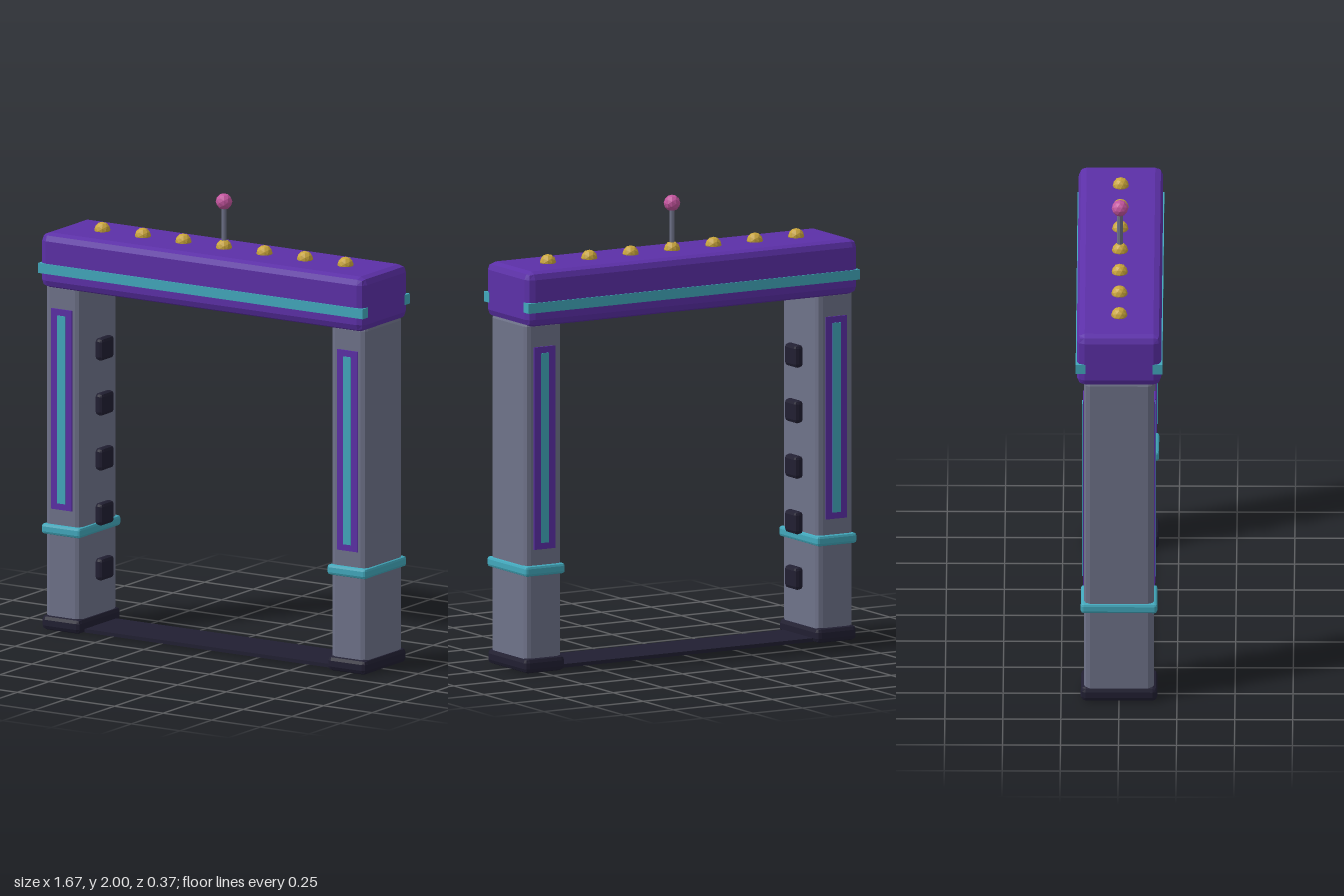
import * as THREE from 'three';
import { RoundedBoxGeometry } from 'three/addons/geometries/RoundedBoxGeometry.js';

const mat = (name, color) => new THREE.MeshStandardMaterial({ name, color, flatShading: true });

export function createModel() {
  const purple = mat('purple', 0x5c30a8);
  const grey = mat('grey', 0x6f738a);
  const teal = mat('teal', 0x42a9bd);
  const dark = mat('dark', 0x211f32);
  const gold = mat('gold', 0xc9a53c);
  const pink = mat('pink', 0xc4559f);

  const model = new THREE.Group();
  model.name = 'scannerGate';

  const add = (parent, name, geometry, material, x, y, z) => {
    const mesh = new THREE.Mesh(geometry, material);
    mesh.name = name;
    mesh.position.set(x, y, z);
    parent.add(mesh);
    return mesh;
  };
  // Box with bevelled edges
  const bevelBox = (w, h, d, r) => {
    const g = new RoundedBoxGeometry(w, h, d, 1, r);
    g.computeVertexNormals();
    return g;
  };

  // Pillars with foot, band, light panels and inward sensors
  for (const side of [-1, 1]) {
    const pillar = new THREE.Group();
    pillar.name = side > 0 ? 'leftPillar' : 'rightPillar';
    pillar.position.x = side * 0.735;
    model.add(pillar);

    add(pillar, 'column', bevelBox(0.18, 1.52, 0.3, 0.024), grey, 0, 0.78, 0);
    add(pillar, 'foot', bevelBox(0.2, 0.066, 0.33, 0.02), dark, 0, 0.033, 0);
    add(pillar, 'band', bevelBox(0.2, 0.046, 0.33, 0.012), teal, 0, 0.447, 0);

    for (const face of [-1, 1]) {
      add(pillar, 'panelFrame', new THREE.BoxGeometry(0.106, 0.886, 0.008), purple, 0, 0.982, face * 0.152);
      add(pillar, 'panelLight', new THREE.BoxGeometry(0.04, 0.83, 0.008), teal, 0, 0.982, face * 0.155);
    }
    for (let i = 0; i < 5; i++) {
      add(pillar, 'sensor', bevelBox(0.042, 0.1, 0.1, 0.016), dark, -side * 0.121, 0.27 + i * 0.243, 0);
    }
  }

  // Threshold plate between the feet
  add(model, 'threshold', new THREE.BoxGeometry(1.27, 0.016, 0.25), dark, 0, 0.012, 0);

  // Header beam with a strip along front and back
  add(model, 'headerBeam', bevelBox(1.666, 0.242, 0.364, 0.034), purple, 0, 1.637, 0);
  for (const face of [-1, 1]) {
    add(model, 'headerStrip', new THREE.BoxGeometry(1.67, 0.044, 0.042), teal, 0, 1.603, face * 0.166);
  }

  // Row of bulbs on top
  const bulb = new THREE.IcosahedronGeometry(0.035, 1);
  for (let i = -3; i <= 3; i++) add(model, 'bulb', bulb, gold, i * 0.2085, 1.762, 0);

  // Antenna
  add(model, 'antennaRod', new THREE.CylinderGeometry(0.012, 0.012, 0.2, 8), grey, 0, 1.85, 0);
  add(model, 'antennaTip', new THREE.IcosahedronGeometry(0.036, 1), pink, 0, 1.964, 0);

  return model;
}
